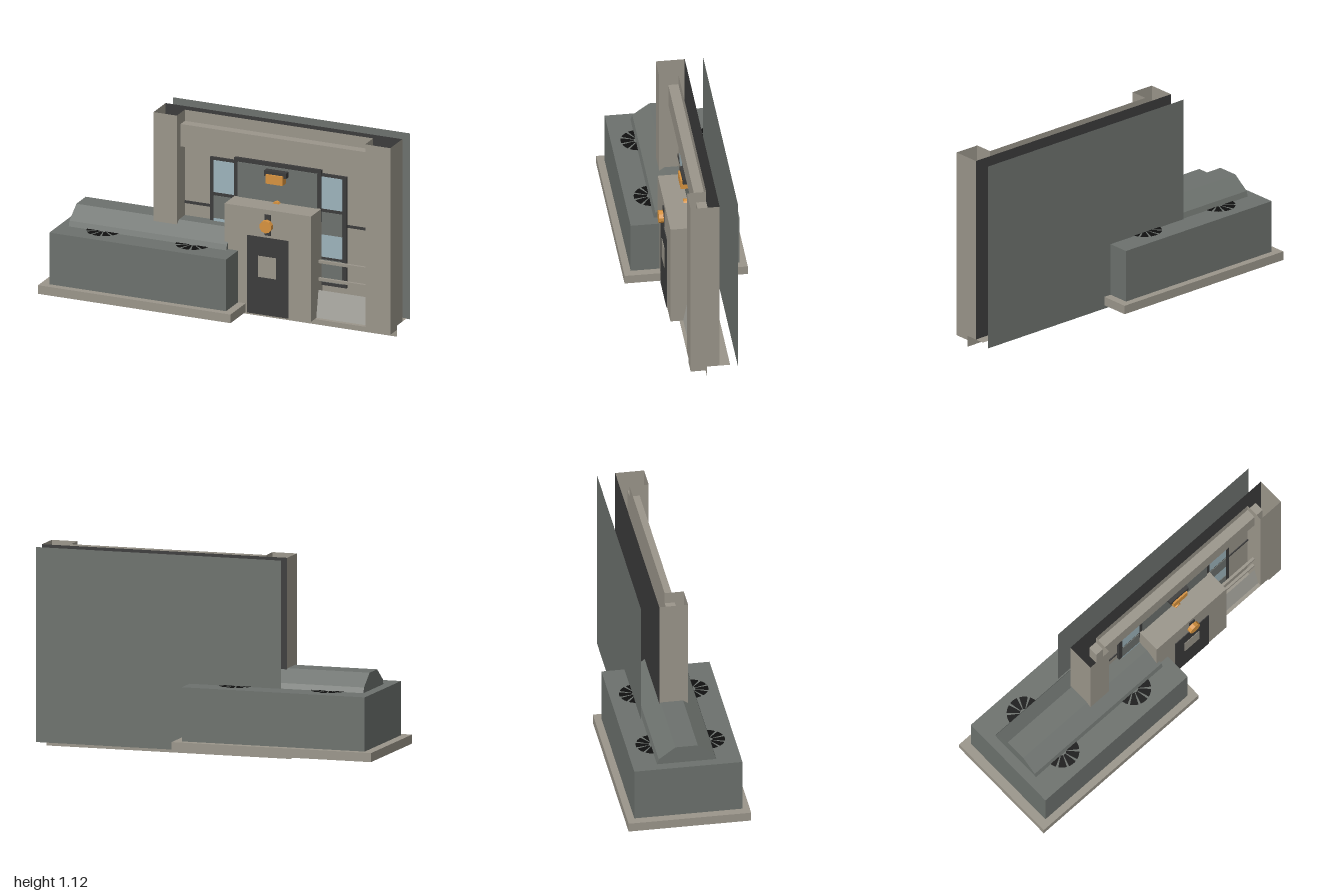
import * as THREE from 'three';

const mat = (name, color, side = THREE.DoubleSide) => {
  const m = new THREE.MeshStandardMaterial({ color, side });
  m.name = name;
  return m;
};

export function createModel() {
  const root = new THREE.Group();
  root.name = 'entranceBuilding';
  const stone = mat('stone', 0x9a958a);
  const pale = mat('paleStone', 0xa3a29b);
  const steel = mat('steel', 0x6c716d);
  const dark = mat('darkMetal', 0x3b3b3b);
  const black = mat('fanBlack', 0x101010);
  const glass = mat('glass', 0x9db3bb);
  const orange = mat('lampOrange', 0xd6923f);

  const add = (name, geo, m) => {
    const mesh = new THREE.Mesh(geo, m);
    mesh.name = name;
    root.add(mesh);
    return mesh;
  };
  // Box given by its limits on each axis
  const box = (name, m, x0, x1, y0, y1, z0, z1) => {
    const mesh = add(name, new THREE.BoxGeometry(x1 - x0, y1 - y0, z1 - z0), m);
    mesh.position.set((x0 + x1) / 2, (y0 + y1) / 2, (z0 + z1) / 2);
    return mesh;
  };
  // Upright sheet facing +z
  const sheet = (name, m, x0, x1, y0, y1, z) => {
    const mesh = add(name, new THREE.PlaneGeometry(x1 - x0, y1 - y0), m);
    mesh.position.set((x0 + x1) / 2, (y0 + y1) / 2, z);
    return mesh;
  };
  // Upright sheet facing sideways
  const sideSheet = (name, m, x, y0, y1, z0, z1) => {
    const mesh = add(name, new THREE.PlaneGeometry(z1 - z0, y1 - y0), m);
    mesh.rotation.y = Math.PI / 2;
    mesh.position.set(x, (y0 + y1) / 2, (z0 + z1) / 2);
    return mesh;
  };
  const floor = (name, m, x0, x1, y, z0, z1) => {
    const mesh = add(name, new THREE.PlaneGeometry(x1 - x0, z1 - z0), m);
    mesh.rotation.x = -Math.PI / 2;
    mesh.position.set((x0 + x1) / 2, y, (z0 + z1) / 2);
    return mesh;
  };

  // Plinth of the machine house, hollow underneath
  floor('plinthTop', stone, -1, 0.155, 0.115, -0.34, 0.34);
  for (const z of [-0.34, 0.34]) sheet('plinthSide', stone, -1, 0.155, 0.065, 0.115, z);
  for (const x of [-1, 0.155]) sideSheet('plinthEnd', stone, x, 0.065, 0.115, -0.34, 0.34);

  // Machine house and its ridged hood
  box('machineHouse', steel, -0.95, 0.11, 0.115, 0.415, -0.3, 0.3);
  const hood = new THREE.Shape([
    [-0.165, 0.415], [0.165, 0.415], [0.155, 0.445], [0.062, 0.513], [-0.062, 0.513], [-0.155, 0.445],
  ].map(([z, y]) => new THREE.Vector2(z, y)));
  const hoodMesh = add('roofHood', new THREE.ExtrudeGeometry(hood, { depth: 0.945, bevelEnabled: false }), steel);
  hoodMesh.rotation.y = -Math.PI / 2;
  hoodMesh.position.x = 0.05;

  // Four roof fans made of flat blades
  const blades = 10;
  for (const x of [-0.69, -0.155]) for (const z of [-0.15, 0.15]) {
    const fan = new THREE.Group();
    fan.name = 'roofFan';
    fan.position.set(x, 0.418, z);
    for (let i = 0; i < blades; i++) {
      const step = (Math.PI * 2) / blades;
      const blade = new THREE.Mesh(new THREE.RingGeometry(0.025, 0.097, 4, 1, i * step, step * 0.78), black);
      blade.name = 'fanBlade';
      blade.rotation.x = -Math.PI / 2;
      fan.add(blade);
    }
    root.add(fan);
  }

  // Facade: wall, backing sheets and ground strip
  sheet('facadeWall', stone, -0.28, 0.85, 0.065, 1.125, -0.016);
  sheet('backLining', dark, -0.42, 1, 0.065, 1.125, -0.07);
  sheet('rearPanel', steel, -0.42, 1, 0.045, 1.125, -0.172);
  floor('ground', stone, -0.42, 1, 0.065, -0.128, 0.09);
  sheet('baseStrip', stone, -0.42, 1, 0, 0.065, 0);

  // Open-topped pillars with a small foot
  for (const [x0, x1, f0, f1] of [[-0.42, -0.28, -0.42, -0.34], [0.85, 1, 0.91, 1]]) {
    const inner = x0 < 0 ? x1 : x0;
    const outer = x0 < 0 ? x0 : x1;
    sheet('pillarFront', stone, x0, x1, 0.065, 1.125, 0.09);
    sideSheet('pillarOuterSide', stone, outer, 0.065, 1.125, -0.07, 0.09);
    sideSheet('pillarInnerSide', stone, inner, 0.065, 1.125, -0.016, 0.09);
    box('pillarFoot', stone, f0, f1, 0.04, 0.065, 0, 0.09);
  }
  box('cornice', stone, -0.33, 0.91, 0.93, 1.06, -0.016, 0.04);

  // Central window bay
  box('bayFrame', dark, 0.025, 0.547, 0.6, 0.9, -0.014, 0.004);
  box('bayPanel', steel, 0.048, 0.525, 0.6, 0.878, 0.004, 0.01);

  // Side windows, mirrored about the door axis
  const axis = 0.287;
  for (const s of [-1, 1]) {
    const part = (name, m, a, b, y0, y1, z0, z1) => {
      const p = axis + s * a, q = axis + s * b;
      box(name, m, Math.min(p, q), Math.max(p, q), y0, y1, z0, z1);
    };
    part('sideFrame', dark, 0.255, 0.41, 0.235, 0.88, -0.015, 0);
    part('upperGlass', glass, 0.262, 0.385, 0.68, 0.865, 0, 0.004);
    part('sidePanel', steel, 0.262, 0.385, 0.53, 0.66, 0, 0.004);
    part('lowerGlass', glass, 0.262, 0.385, 0.4, 0.53, 0, 0.004);
    part('lowerPanel', steel, 0.262, 0.385, 0.255, 0.385, 0, 0.004);
    part('wallLine', dark, 0.41, 0.565, 0.585, 0.6, -0.015, -0.01);
  }

  // Sloped skirting and handrails beside the door
  const slope = sheet('slopedSkirt', pale, 0.547, 0.9, 0.065, 0.22, 0.055);
  slope.rotation.x = -Math.atan(0.03 / 0.155);
  for (const y of [0.28, 0.382]) box('handrail', stone, 0.547, 0.98, y - 0.008, y + 0.008, 0.025, 0.04);

  // Door block
  box('doorBlock', stone, 0.028, 0.547, 0.065, 0.677, -0.016, 0.14);
  box('door', dark, 0.165, 0.413, 0.065, 0.515, 0.14, 0.144);
  box('doorWindow', stone, 0.233, 0.34, 0.283, 0.405, 0.144, 0.147);

  // Lamps
  const roundLamp = (y, r, z, depth) => {
    const mesh = add('roundLamp', new THREE.CylinderGeometry(r, r, depth, 10).toNonIndexed(), orange);
    mesh.geometry.computeVertexNormals();
    mesh.rotation.x = Math.PI / 2;
    mesh.position.set(axis, y, z);
  };
  box('lampBracket', dark, 0.27, 0.307, 0.53, 0.65, 0.14, 0.146);
  roundLamp(0.587, 0.036, 0.159, 0.026);
  roundLamp(0.667, 0.022, 0.022, 0.024);
  box('floodlightBracket', dark, 0.222, 0.355, 0.835, 0.866, 0.01, 0.045);
  box('floodlight', orange, 0.236, 0.338, 0.795, 0.848, 0.012, 0.055);

  return root;
}
